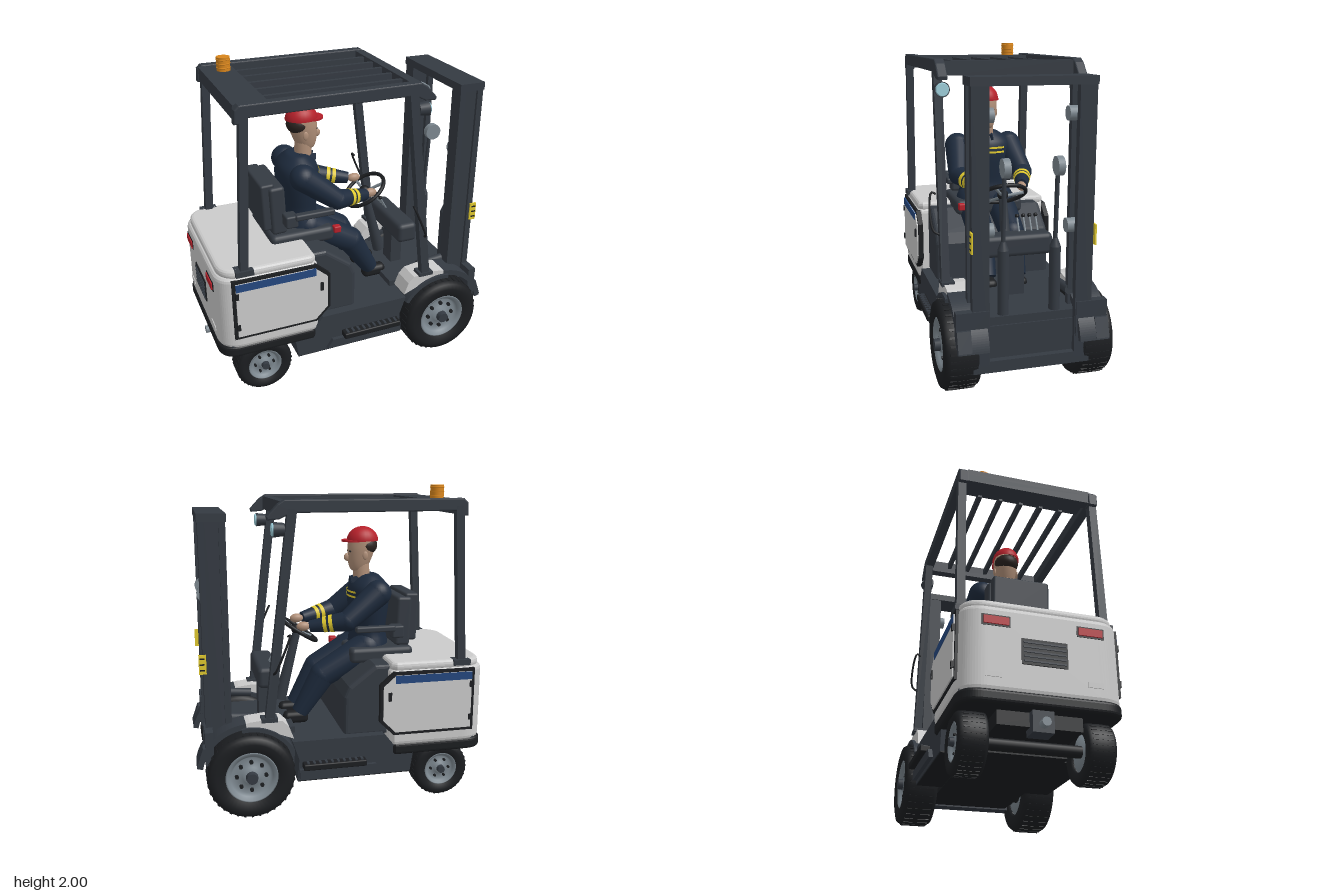
import * as THREE from 'three';
import { RoundedBoxGeometry } from 'three/addons/geometries/RoundedBoxGeometry.js';

const DARK = 0x343a42, BLACK = 0x1c1e21, GREY = 0xcccccc, STEEL = 0x7d8890, NAVY = 0x1d2a3c,
  YELLOW = 0xe0c92e, SKIN = 0xb08f78, RED = 0xb5202a, BLUE = 0x24477f, ORANGE = 0xd9861c, GLASS = 0x9fd0dd;
const V = (x, y, z) => new THREE.Vector3(x, y, z);
const UP = V(0, 1, 0);

export function createModel() {
  const root = new THREE.Group();
  root.name = 'forklift';
  const mats = {};
  const mat = c => (mats[c] ??= new THREE.MeshStandardMaterial({ color: c, side: THREE.DoubleSide }));
  const add = (name, geo, color, x = 0, y = 0, z = 0) => {
    const m = new THREE.Mesh(geo, mat(color));
    m.name = name;
    m.position.set(x, y, z);
    root.add(m);
    return m;
  };
  // box given by its limits, with an optional rounded edge
  const box = (name, color, x0, x1, y0, y1, z0, z1, r = 0) => {
    const s = [x1 - x0, y1 - y0, Math.abs(z1 - z0)];
    return add(name, r ? new RoundedBoxGeometry(...s, 2, r) : new THREE.BoxGeometry(...s), color,
      (x0 + x1) / 2, (y0 + y1) / 2, (z0 + z1) / 2);
  };
  const along = (m, a, b) => {
    m.position.copy(a).lerp(b, 0.5);
    m.quaternion.setFromUnitVectors(UP, b.clone().sub(a).normalize());
    return m;
  };
  const rod = (name, color, a, b, ra, rb = ra, n = 16) =>
    along(add(name, new THREE.CylinderGeometry(rb, ra, a.distanceTo(b), n), color), a, b);
  const beam = (name, color, a, b, w, d) =>
    along(add(name, new THREE.BoxGeometry(w, a.distanceTo(b), d), color), a, b);
  const ball = (name, color, p, rx, ry = rx, rz = rx) => {
    const m = add(name, new THREE.SphereGeometry(1, 24, 16), color, p.x, p.y, p.z);
    m.scale.set(rx, ry, rz);
    return m;
  };
  const points = pts => pts.map(p => new THREE.Vector2(...p));
  const poly = pts => new THREE.Shape(points(pts));
  const turned = (pts, n) => new THREE.LatheGeometry(new THREE.SplineCurve(points(pts)).getPoints(28), n);
  const extrude = (shape, depth, bevel) => new THREE.ExtrudeGeometry(shape, { depth: depth - 2 * bevel, bevelEnabled: bevel > 0,
    bevelSize: bevel, bevelThickness: bevel, bevelOffset: -bevel, bevelSegments: 3, curveSegments: 16 });
  // side profile extruded from z0 to z1
  const slab = (name, color, shape, z0, z1, bevel = 0) =>
    add(name, extrude(shape, Math.abs(z1 - z0), bevel), color, 0, 0, Math.min(z0, z1) + bevel);
  // plan outline extruded upward
  const upright = (name, color, shape, y0, y1, bevel = 0) =>
    add(name, extrude(shape, y1 - y0, bevel).rotateX(-Math.PI / 2), color, 0, y0 + bevel, 0);
  const tube = (name, color, pts, r) =>
    add(name, new THREE.TubeGeometry(new THREE.CatmullRomCurve3(pts), 24, r, 8), color);
  const ring = (cx, cy, ri, ro, a0, a1) => {
    const s = new THREE.Shape();
    s.absarc(cx, cy, ro, a0, a1, false);
    s.absarc(cx, cy, ri, a1, a0, true);
    return s;
  };

  // Chassis
  slab('chassis', DARK, poly([[-0.85, 0.36], [-0.85, 0.4], [-0.3, 0.4], [-0.25, 0.46], [0.34, 0.46], [0.3, 0.34], [0.31, 0.2],
    [-0.42, 0.2], [-0.44, 0.33]]), -0.45, 0.45);
  box('underbody', BLACK, -0.5, 0.84, 0.19, 0.24, -0.28, 0.28);
  box('underPlate', BLACK, -0.42, 0.31, 0.193, 0.2, -0.445, 0.445);
  box('frontFloor', DARK, 0.3, 0.82, 0.22, 0.5, -0.29, 0.29);
  rod('rearAxle', BLACK, V(-0.64, 0.19, -0.3), V(-0.64, 0.19, 0.3), 0.035);
  rod('frontAxle', BLACK, V(0.6, 0.27, -0.35), V(0.6, 0.27, 0.35), 0.07);
  box('rearCore', BLACK, -0.82, -0.45, 0.24, 0.36, -0.24, 0.24);

  // Counterweight, rounded at the rear corners
  const plan = (x0, x1, w, r) => {
    const s = new THREE.Shape(), c = 0.03;
    s.moveTo(x1, -w + c); s.lineTo(x1, w - c); s.lineTo(x1 - c, w); s.lineTo(x0 + r, w);
    s.quadraticCurveTo(x0, w, x0, w - r);
    s.lineTo(x0, -w + r);
    s.quadraticCurveTo(x0, -w, x0 + r, -w);
    s.lineTo(x1 - c, -w);
    return s;
  };
  upright('counterweight', GREY, plan(-0.915, -0.28, 0.465, 0.15), 0.38, 0.88, 0.03);
  upright('counterweightLid', GREY, plan(-0.895, -0.29, 0.455, 0.15), 0.865, 0.925, 0.025);
  upright('rearBumper', BLACK, plan(-0.92, -0.29, 0.465, 0.13), 0.32, 0.395, 0.02);
  rod('towPin', STEEL, V(-0.92, 0.245, 0), V(-0.8, 0.245, 0), 0.025);
  box('towBlock', DARK, -0.87, -0.76, 0.2, 0.33, -0.06, 0.06);
  box('rearVent', BLACK, -0.922, -0.9, 0.55, 0.7, -0.13, 0.13);
  for (let i = 0; i < 5; i++) box('ventSlat', DARK, -0.928, -0.9, 0.565 + i * 0.027, 0.575 + i * 0.027, -0.12, 0.12);

  // Seat plinth
  slab('seatPlinth', DARK, poly([[-0.3, 0.44], [0, 0.44], [0, 0.7], [-0.03, 0.77], [-0.2, 0.9], [-0.3, 0.9]]), -0.39, 0.39, 0.025);

  const panel = (i) => poly([[-0.83 + i, 0.46 + i], [-0.3 - i / 2, 0.46 + i], [-0.21 - i, 0.55 + i / 2],
    [-0.21 - i, 0.79 - i / 2], [-0.3 - i / 2, 0.87 - i], [-0.83 + i, 0.87 - i]]);
  const wheel = (x, r, z0, z1, s, nuts) => {
    const w = z1 - z0, h = w / 2, rim = r * 0.575, g = new THREE.Group();
    g.name = 'wheel';
    const part = (name, geo, color, px = 0, py = 0, pz = 0) => {
      const m = new THREE.Mesh(geo, mat(color));
      m.name = name; m.position.set(px, py, pz); g.add(m);
    };
    const lathe = pts => new THREE.LatheGeometry(points(pts), 48).rotateX(Math.PI / 2);
    part('tyre', lathe([[rim, -h * 0.75], [rim * 1.05, -h * 0.9], [r * 0.8, -h], [r * 0.93, -h * 0.92], [r * 0.985, -h * 0.7],
      [r, -h * 0.2], [r, h * 0.2], [r * 0.985, h * 0.7], [r * 0.93, h * 0.92], [r * 0.8, h], [rim * 1.05, h * 0.9], [rim, h * 0.75]]), BLACK);
    part('rim', lathe([[0, h * 0.8], [rim * 0.3, h * 0.8], [rim * 0.36, h * 0.6], [rim * 0.75, h * 0.5], [rim * 0.84, h * 0.72],
      [rim * 0.98, h * 0.9], [rim * 1.04, h * 0.86], [rim, -h * 0.7], [0, -h * 0.7]]), STEEL);
    part('hub', new THREE.CylinderGeometry(rim * 0.22, rim * 0.26, h * 0.5, 16).rotateX(Math.PI / 2), DARK, 0, 0, h * 0.85);
    for (let i = 0; i < nuts; i++) {
      const a = i * Math.PI * 2 / nuts;
      part('wheelNut', new THREE.CylinderGeometry(rim * 0.08, rim * 0.08, 0.03, 8).rotateX(Math.PI / 2), BLACK,
        Math.cos(a) * rim * 0.58, Math.sin(a) * rim * 0.58, h * 0.56);
    }
    // shallow tread bars
    for (let i = 0; i < 36; i++)
      part('treadBar', new THREE.BoxGeometry(r * 0.05, 0.008, w * 0.7).translate(0, r - 0.003, 0).rotateZ(i * Math.PI / 18), BLACK);
    g.position.set(x, r + 0.001, s * (z0 + z1) / 2);
    if (s < 0) g.rotation.y = Math.PI;
    root.add(g);
  };

  for (const s of [1, -1]) {
    wheel(0.6, 0.27, 0.29, 0.515, s, 8);
    wheel(-0.64, 0.182, 0.27, 0.44, s, 6);
    // Side panel
    slab('panelFrame', BLACK, panel(0), s * 0.44, s * 0.472);
    slab('sidePanel', GREY, panel(0.02), s * 0.46, s * 0.48);
    box('panelStripe', BLUE, -0.81, -0.305, 0.8, 0.85, s * 0.47, s * 0.483);
    box('panelLatch', BLACK, -0.28, -0.26, 0.69, 0.745, s * 0.47, s * 0.49);
    for (const y of [0.53, 0.75]) box('panelHinge', BLACK, -0.815, -0.795, y, y + 0.04, s * 0.47, s * 0.488);
    box('tailLightFrame', BLACK, -0.918, -0.885, 0.755, 0.82, s * 0.19, s * 0.35);
    box('tailLight', RED, -0.925, -0.9, 0.765, 0.81, s * 0.2, s * 0.34);
    box('rearReflector', GREY, -0.92, -0.9, 0.46, 0.49, s * 0.24, s * 0.33);
    // Step
    slab('stepSide', DARK, poly([[-0.23, 0.22], [0.3, 0.22], [0.3, 0.28], [-0.19, 0.28]]), s * 0.43, s * 0.475);
    box('stepTread', BLACK, -0.12, 0.28, 0.285, 0.325, s * 0.43, s * 0.51, 0.008);
    for (let i = 0; i < 10; i++) box('stepCleat', DARK, -0.1 + i * 0.038, -0.085 + i * 0.038, 0.32, 0.332, s * 0.46, s * 0.5);
    // Front fender
    slab('fender', DARK, ring(0.6, 0.27, 0.295, 0.33, 0.2, 1.5), s * 0.27, s * 0.45);
    slab('fenderLip', DARK, ring(0.6, 0.27, 0.28, 0.305, 1.4, 2.6), s * 0.27, s * 0.465);
    slab('fenderCover', GREY, poly([[0.33, 0.48], [0.36, 0.56], [0.4, 0.6], [0.5, 0.615], [0.6, 0.605], [0.72, 0.57],
      [0.6, 0.575], [0.5, 0.555], [0.42, 0.515]]), s * 0.3, s * 0.445);
    box('fenderFlap', DARK, 0.82, 0.87, 0.35, 0.56, s * 0.26, s * 0.45);
    slab('fenderTip', DARK, poly([[0.86, 0.46], [0.885, 0.46], [0.925, 0.345], [0.895, 0.34]]), s * 0.37, s * 0.45);
    // Overhead guard
    beam('rearPillar', DARK, V(-0.745, 0.9, s * 0.43), V(-0.695, 1.88, s * 0.43), 0.05, 0.05);
    box('rearPillarFoot', DARK, -0.8, -0.69, 0.89, 0.925, s * 0.39, s * 0.47);
    beam('frontPillar', DARK, V(0.48, 0.6, s * 0.43), V(0.325, 1.87, s * 0.43), 0.055, 0.05);
    box('frontPillarFoot', DARK, 0.43, 0.53, 0.6, 0.625, s * 0.38, s * 0.46);
    slab('roofBeam', DARK, poly([[-0.75, 1.82], [-0.745, 1.9], [-0.72, 1.925], [0.37, 1.925], [0.41, 1.9], [0.475, 1.83],
      [0.47, 1.81], [0.4, 1.815], [0.33, 1.85], [-0.68, 1.85], [-0.69, 1.82]]), s * 0.395, s * 0.455, 0.008);
    // Headlamp
    rod('lampBody', DARK, V(0.37, 1.755, s * 0.42), V(0.435, 1.755, s * 0.42), 0.038, 0.045, 20);
    rod('lampGlass', GLASS, V(0.435, 1.755, s * 0.42), V(0.445, 1.755, s * 0.42), 0.04, 0.036, 20);
    tube('grabHandle', BLACK, [V(0.45, 0.9, s * 0.45), V(0.44, 0.925, s * 0.488), V(0.37, 1.09, s * 0.495),
      V(0.35, 1.14, s * 0.478), V(0.36, 1.13, s * 0.455)], 0.007);
    // Mast rail: H-section
    upright('mastRail', DARK, poly([[0.7, -0.05], [0.74, -0.05], [0.74, -0.033], [0.822, -0.033], [0.822, -0.05], [0.86, -0.05],
      [0.86, 0.05], [0.822, 0.05], [0.822, 0.02], [0.74, 0.02], [0.74, 0.05], [0.7, 0.05]].map(([x, z]) => [x, s * z])),
      0.22, 1.83).position.z = s * 0.305;
    for (const y of [0.43, 1.0, 1.64]) rod('mastRoller', STEEL, V(0.78, y, s * 0.215), V(0.78, y, s * 0.3), 0.042, 0.042, 20);
    rod('liftCylinder', DARK, V(0.78, 0.37, s * 0.155), V(0.78, 0.88, s * 0.155), 0.033);
    rod('liftCylinderNeck', DARK, V(0.78, 0.88, s * 0.155), V(0.78, 0.93, s * 0.155), 0.033, 0.014);
    rod('liftRod', DARK, V(0.78, 0.93, s * 0.155), V(0.8, 1.33, s * 0.155), 0.013);
    rod('chainPulley', STEEL, V(0.82, 1.355, s * 0.135), V(0.82, 1.355, s * 0.175), 0.055, 0.055, 24);
    rod('tiltCylinder', DARK, V(0.52, 0.57, s * 0.265), V(0.74, 0.59, s * 0.265), 0.028);
    box('warningLabel', YELLOW, 0.84, 0.885, 0.9, 1.02, s * 0.354, s * 0.364);
    for (let i = 0; i < 3; i++) box('warningBar', BLACK, 0.85, 0.88, 0.92 + i * 0.036, 0.929 + i * 0.036, s * 0.356, s * 0.366);
    // Armrest
    box('armrest', DARK, -0.36, -0.1, 1.085, 1.125, s * 0.24, s * 0.29, 0.012);
    box('armrestPost', DARK, -0.42, -0.34, 1.04, 1.12, s * 0.19, s * 0.28, 0.012);
  }
  // Mast cross members
  box('mastTopBar', DARK, 0.695, 0.865, 1.8, 1.848, -0.36, 0.36);
  box('mastLowBar', DARK, 0.72, 0.83, 0.3, 0.45, -0.3, 0.3);
  box('mastFootBar', DARK, 0.76, 0.86, 0.18, 0.25, -0.35, 0.35);
  // Roof cross plates and slats
  box('roofRear', DARK, -0.74, -0.54, 1.88, 1.915, -0.4, 0.4);
  box('roofRearBar', DARK, -0.74, -0.68, 1.83, 1.89, -0.4, 0.4);
  box('roofFront', DARK, 0.33, 0.39, 1.83, 1.915, -0.4, 0.4);
  for (let i = -2; i <= 2; i++) box('roofSlat', DARK, -0.56, 0.35, 1.865, 1.905, i * 0.137 - 0.013, i * 0.137 + 0.013);
  // Beacon
  rod('beacon', ORANGE, V(-0.61, 1.915, -0.275), V(-0.61, 2, -0.275), 0.042, 0.042, 24);
  for (const y of [1.935, 1.96, 1.985]) add('beaconRib', new THREE.TorusGeometry(0.041, 0.004, 6, 24).rotateX(Math.PI / 2), ORANGE, -0.61, y, -0.275);

  // Seat
  box('seatCushion', DARK, -0.5, -0.08, 0.87, 0.97, -0.23, 0.23, 0.03);
  box('seatBack', DARK, -0.49, -0.39, 0.97, 1.29, -0.2, 0.2, 0.02).rotation.z = 0.04;
  box('seatBackShell', DARK, -0.54, -0.45, 1.0, 1.31, -0.18, 0.18, 0.015).rotation.z = 0.04;
  box('beltBuckle', RED, -0.08, -0.03, 0.915, 0.96, 0.18, 0.225, 0.008);

  // Controls
  box('dashboard', DARK, 0.38, 0.52, 0.745, 0.88, -0.24, 0.24, 0.03);
  box('dashboardStand', DARK, 0.42, 0.5, 0.48, 0.76, -0.06, 0.06);
  rod('steeringColumn', DARK, V(0.23, 1.06, 0), V(0.35, 0.6, 0), 0.025, 0.04);
  const tilt = new THREE.Quaternion().setFromUnitVectors(V(0, 0, 1), V(-0.55, 0.835, 0).normalize());
  add('steeringWheel', new THREE.TorusGeometry(0.148, 0.013, 10, 40), BLACK, 0.23, 1.075, 0).quaternion.copy(tilt);
  for (let i = 0; i < 3; i++) {
    const a = i * 2.094, p = V(Math.cos(a) * 0.145, Math.sin(a) * 0.145, 0).applyQuaternion(tilt);
    rod('wheelSpoke', STEEL, V(0.235, 1.06, 0), p.add(V(0.23, 1.075, 0)), 0.01, 0.01, 8);
  }
  ball('wheelHub', BLACK, V(0.232, 1.07, 0), 0.035);
  for (let i = 0; i < 4; i++) {
    rod('lever', STEEL, V(0.43, 0.87, -0.05 - i * 0.04), V(0.38, 0.96, -0.05 - i * 0.04), 0.006, 0.006, 8);
    ball('leverKnob', BLACK, V(0.378, 0.965, -0.05 - i * 0.04), 0.013);
  }

  // Driver: torso and head
  add('torso', turned([[0.001, 0.9], [0.12, 0.91], [0.13, 0.97], [0.115, 1.06], [0.125, 1.16], [0.135, 1.27], [0.125, 1.35],
    [0.08, 1.405], [0.05, 1.425], [0.001, 1.425]], 32), NAVY, -0.25).scale.z = 1.42;
  for (const y of [1.285, 1.315]) add('chestStripe', new THREE.CylinderGeometry(0.137, 0.137, 0.013, 32, 1, true, 0.95, 1.25), YELLOW, -0.249, y).scale.z = 1.42;
  rod('neck', SKIN, V(-0.205, 1.38, 0), V(-0.2, 1.5, 0), 0.055, 0.055);
  // head narrows to the chin and leans it forward
  const head = add('head', turned([[0.001, -0.13], [0.04, -0.122], [0.062, -0.09], [0.08, -0.03], [0.09, 0.04], [0.08, 0.1], [0.001, 0.13]], 28), SKIN, -0.195, 1.565);
  head.scale.z = 0.86;
  head.rotation.z = 0.17;
  ball('nose', SKIN, V(-0.108, 1.535, 0), 0.022, 0.026, 0.013);
  ball('hair', 0x2b2320, V(-0.228, 1.61, 0), 0.08, 0.065, 0.079);
  add('cap', new THREE.SphereGeometry(1, 24, 12, 0, Math.PI * 2, 0, Math.PI / 2), RED, -0.21, 1.64, 0).scale.set(0.104, 0.093, 0.088);
  add('capBrim', new THREE.CylinderGeometry(1, 1, 0.012, 24), RED, -0.15, 1.642, 0).scale.set(0.08, 1, 0.075);

  // Driver: limbs
  for (const s of [1, -1]) {
    ball('ear', SKIN, V(-0.21, 1.55, s * 0.077), 0.018, 0.028, 0.008);
    ball('eye', BLACK, V(-0.122, 1.575, s * 0.03), 0.008, 0.007, 0.012);
    const sh = V(-0.27, 1.32, s * 0.18), el = V(-0.06, 1.155, s * 0.22), wr = V(0.17, 1.115, s * 0.145);
    ball('shoulder', NAVY, sh, 0.085);
    rod('upperArm', NAVY, sh, el, 0.085, 0.066, 20);
    ball('elbow', NAVY, el, 0.066);
    rod('forearm', NAVY, el, wr, 0.066, 0.038, 20);
    for (const t of [0.38, 0.54]) {
      const r = 0.068 - 0.028 * t;
      rod('sleeveStripe', YELLOW, el.clone().lerp(wr, t), el.clone().lerp(wr, t + 0.1), r, r - 0.002, 20);
    }
    ball('hand', SKIN, V(0.21, 1.115, s * 0.132), 0.045, 0.03, 0.028);
    const hip = V(-0.22, 0.95, s * 0.1), knee = V(0.08, 0.78, s * 0.105), ankle = V(0.235, 0.53, s * 0.1);
    ball('hip', NAVY, hip, 0.1);
    rod('thigh', NAVY, hip, knee, 0.1, 0.085, 20);
    ball('knee', NAVY, knee, 0.085);
    rod('shin', NAVY, knee, ankle, 0.085, 0.055, 20);
    box('shoe', BLACK, 0.18, 0.345, 0.46, 0.54, s * 0.06, s * 0.14, 0.03);
    beam('collar', NAVY, V(-0.25, 1.41, s * 0.065), V(-0.13, 1.385, s * 0.025), 0.04, 0.015);
  }

  return root;
}
